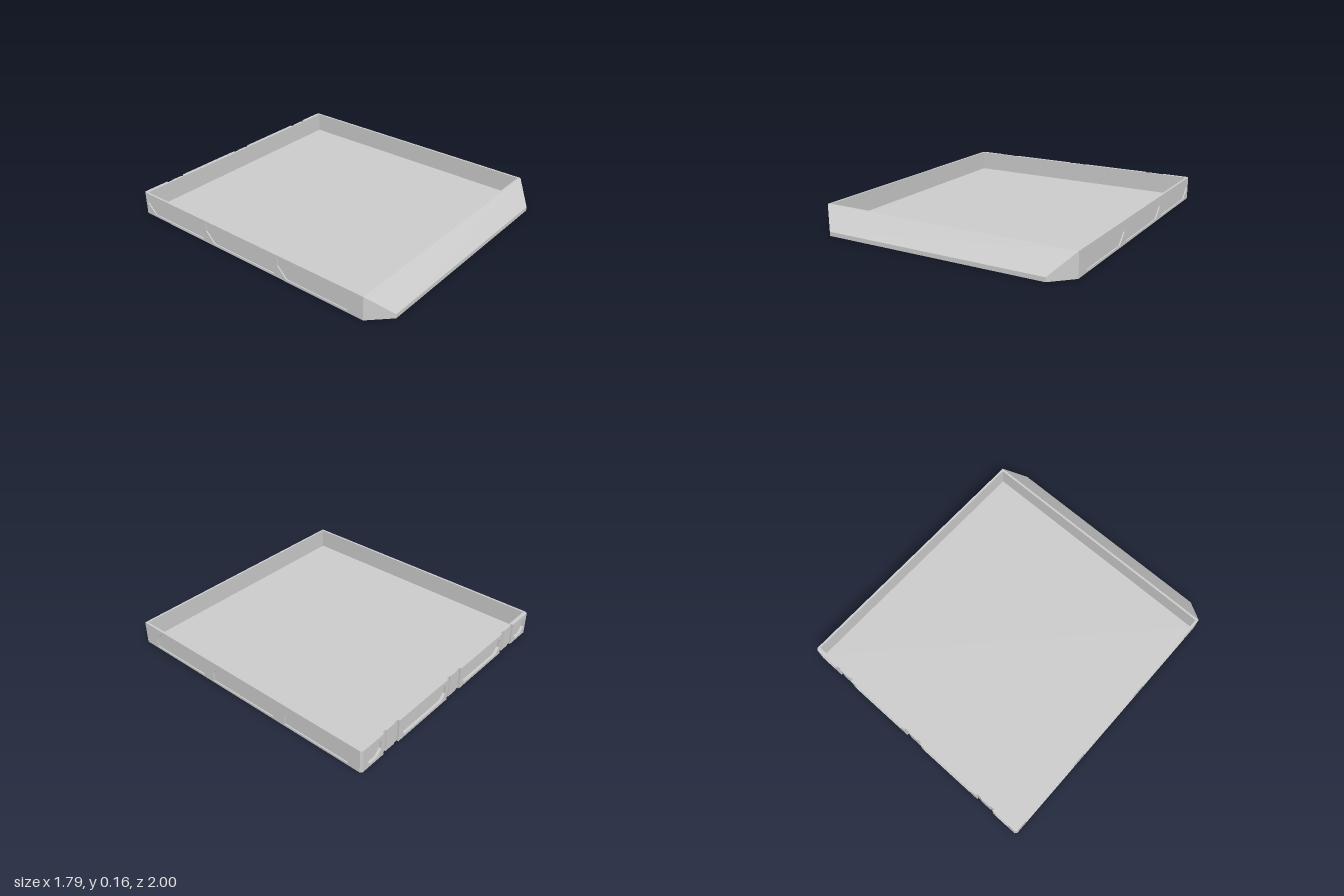
import * as THREE from 'three';

const W = 0.895, H = 0.158, FRONT = 0.87, BACK = -1, T = 0.015;
const mat = new THREE.MeshStandardMaterial({ color: 0xcccccc, flatShading: true });

function add(parent, name, geo, x = 0, y = 0, z = 0) {
  const m = new THREE.Mesh(geo, mat);
  m.name = name;
  m.position.set(x, y, z);
  parent.add(m);
  return m;
}

// box given by its limits
function box(parent, name, x0, x1, y0, y1, z0, z1) {
  return add(parent, name, new THREE.BoxGeometry(x1 - x0, y1 - y0, z1 - z0),
    (x0 + x1) / 2, (y0 + y1) / 2, (z0 + z1) / 2);
}

const polygon = (pts) => pts.map(([x, y]) => new THREE.Vector2(x, y));

// rectangle with corner cuts: bottom left, bottom right, top right, top left
function cutRect(x0, x1, y0, y1, [bl, br, tr, tl]) {
  return polygon([
    [x0 + bl, y0], [x1 - br, y0], [x1, y0 + br], [x1, y1 - tr],
    [x1 - tr, y1], [x0 + tl, y1], [x0, y1 - tl], [x0, y0 + bl],
  ].filter((p, i, a) => !i || p[0] !== a[i - 1][0] || p[1] !== a[i - 1][1]));
}

// flat plate with pockets cut through it
function plate(x0, x1, holes, depth) {
  const s = new THREE.Shape(polygon([[x0, 0], [x1, 0], [x1, H], [x0, H]]));
  s.holes = holes.map((h) => new THREE.Path(h));
  return new THREE.ExtrudeGeometry(s, { depth, bevelEnabled: false });
}

function quads(list) {
  const pos = [];
  for (const [a, b, c, d] of list) pos.push(...a, ...b, ...c, ...a, ...c, ...d);
  const g = new THREE.BufferGeometry();
  g.setAttribute('position', new THREE.Float32BufferAttribute(pos, 3));
  g.computeVertexNormals();
  return g;
}

// hollow sloped lip with cut corners, open underneath
function lipGeometry() {
  const outer = [[W, H, FRONT], [0.765, 0.028, 1], [0.765, 0, 1], [W, 0, FRONT]];
  const inner = [[0.875, 0.137, FRONT], [0.76, 0.022, 0.985], [0.76, 0, 0.985], [0.875, 0, FRONT]];
  const flip = (p) => [-p[0], p[1], p[2]];
  const shell = ([a, b, c, d]) => [
    [a, flip(a), flip(b), b],
    [b, flip(b), flip(c), c],
    [a, b, c, d],
    [a, b, c, d].map(flip).reverse(),
  ];
  const rev = (q) => [...q].reverse();
  const [, , c, d] = outer, [, , ci, di] = inner;
  return quads([
    ...shell(outer), ...shell(inner).map(rev),
    // bottom rim
    [c, flip(c), flip(ci), ci],
    [d, c, ci, di],
    [d, c, ci, di].map(flip).reverse(),
  ]);
}

export function createModel() {
  const tray = new THREE.Group();
  tray.name = 'tray';
  const skin = 0.008, corner = 0.012;

  box(tray, 'floor', -W + skin, W - skin, 0, 0.02, BACK + 0.012, FRONT);
  box(tray, 'frontWall', -W + skin, W - skin, 0, H, FRONT - T, FRONT);
  add(tray, 'frontLip', lipGeometry());

  // side walls with three shallow recessed panels each
  const spans = [[0.23, 0.76], [-0.39, 0.2], [-0.97, -0.42]];
  for (const side of [1, -1]) {
    const wall = new THREE.Group();
    wall.name = side > 0 ? 'leftWall' : 'rightWall';
    tray.add(wall);
    const cut = 0.07;
    const holes = spans.map(([z0, z1]) => side > 0
      ? cutRect(-z1, -z0, 0.015, 0.145, [0, cut, 0, cut])
      : cutRect(z0, z1, 0.015, 0.145, [cut, 0, cut, 0]));
    const ends = side > 0 ? [-FRONT, -BACK - corner] : [BACK + corner, FRONT];
    const geo = plate(...ends, holes, skin);
    geo.rotateY(side * Math.PI / 2);
    add(wall, 'sideFrame', geo, side * (W - skin));
    const xs = [side * (W - skin), side * (W - T)].sort((a, b) => a - b);
    box(wall, 'sideInnerSkin', ...xs, 0, H, BACK + corner, FRONT);

    // bevelled rear corner
    const tri = new THREE.Shape(polygon([
      [side * W, -BACK - corner], [side * (W - corner), -BACK], [side * (W - corner), -BACK - corner]]));
    const post = new THREE.ExtrudeGeometry(tri, { depth: H, bevelEnabled: false });
    post.rotateX(-Math.PI / 2);
    add(wall, 'rearCorner', post);
  }

  // back wall: four pocketed blocks separated by three upright slots
  const backWall = new THREE.Group();
  backWall.name = 'backWall';
  tray.add(backWall);
  const depth = 0.018;
  box(backWall, 'backInnerSkin', -W + skin, W - skin, 0, H, BACK + depth, BACK + 0.026);
  const blocks = [[-W + corner, -0.7], [-0.56, -0.07], [0.07, 0.56], [0.7, W - corner]];
  for (const [x0, x1] of blocks) {
    const pocket = cutRect(x0 + 0.02, x1 - 0.02, 0.02, 0.128, [0.04, 0.04, 0.015, 0.015]);
    add(backWall, 'pocketBlock', plate(x0, x1, [pocket], depth), 0, 0, BACK);
  }
  for (const x of [-0.63, 0, 0.63]) {
    box(backWall, 'slotBack', x - 0.07, x + 0.07, 0, H, BACK + 0.013, BACK + depth);
    box(backWall, 'slotRib', x - 0.04, x + 0.04, 0, H, BACK + 0.007, BACK + 0.013);
  }
  return tray;
}
